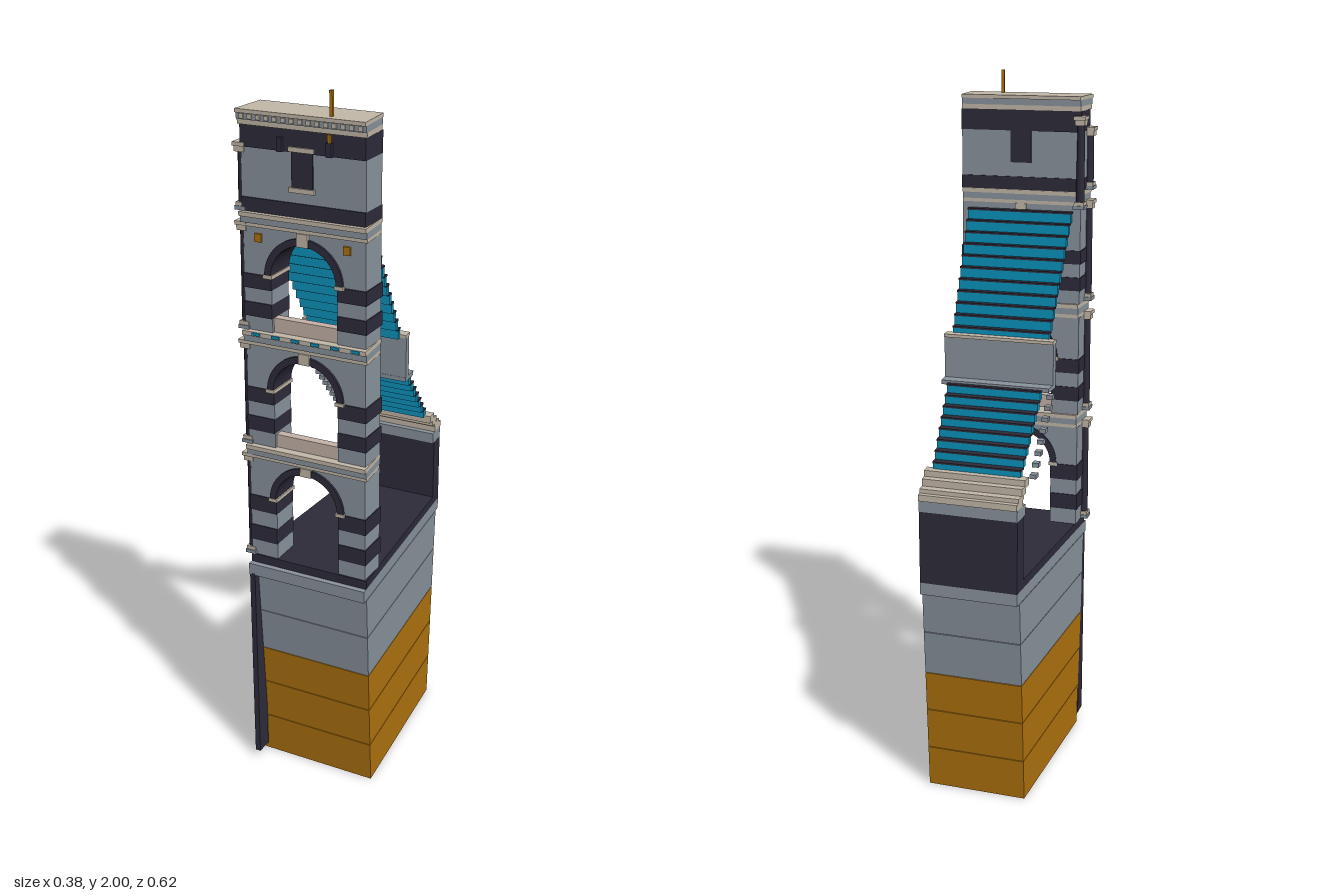
import * as THREE from 'three';

const mat = (name, color, side = THREE.FrontSide) => {
  const m = new THREE.MeshStandardMaterial({ color, side });
  m.name = name;
  return m;
};

export function createModel() {
  const root = new THREE.Group();
  root.name = 'arenaSection';
  const gray = mat('grayStone', 0x8a949e);
  const dark = mat('darkStone', 0x2e2b3a);
  const ochre = mat('ochreEarth', 0xb0740e, THREE.DoubleSide);
  const blue = mat('blueSeat', 0x0b94be);
  const beige = mat('paleStone', 0xc4b9a9);
  const rose = mat('roseSill', 0xc6b4ab);

  const add = (geo, m, name, parent = root) => {
    const mesh = new THREE.Mesh(geo, m);
    mesh.name = name;
    parent.add(mesh);
    return mesh;
  };
  const box = (x0, x1, y0, y1, z0, z1, m, name, parent) => {
    const mesh = add(new THREE.BoxGeometry(x1 - x0, y1 - y0, z1 - z0), m, name, parent);
    mesh.position.set((x0 + x1) / 2, (y0 + y1) / 2, (z0 + z1) / 2);
    return mesh;
  };

  // Side edges of the wedge-shaped plan, narrowing to the back
  const leftX = z => -0.155 - 0.05 * z;
  const rightX = z => 0.165 + 0.083 * z;

  // Slab following the wedge plan; front and back may slope between bottom and top
  const slab = (y0, y1, back, front, m, name, { inset = 0, back1 = back, front1 = front, open = false, parent } = {}) => {
    const g = new THREE.BoxGeometry(1, 1, 1);
    const p = g.attributes.position;
    for (let i = 0; i < p.count; i++) {
      const top = p.getY(i) > 0;
      const z = p.getZ(i) > 0 ? (top ? front1 : front) : (top ? back1 : back);
      p.setXYZ(i, p.getX(i) > 0 ? rightX(z) - inset : leftX(z) + inset, top ? y1 : y0, z);
    }
    if (open) {
      const idx = Array.from(g.index.array);
      idx.splice(18, 6); // bottom face left open
      g.setIndex(idx);
    }
    g.computeVertexNormals();
    return add(g, m, name, parent);
  };

  // Foundation courses, widening upward
  const levels = [0, 0.125, 0.25, 0.37, 0.5, 0.625];
  const frontZ = y => 0.25 + 0.062 * y;
  const backZ = y => -0.24 - 0.072 * y;
  for (let i = 0; i < 5; i++) {
    const a = levels[i], b = levels[i + 1];
    slab(a, b - 0.002, backZ(a), frontZ(a), i < 3 ? ochre : gray, 'foundationCourse',
      { back1: backZ(b), front1: frontZ(b), open: i === 0 });
  }
  box(-0.168, -0.152, 0.025, 0.63, 0.26, 0.308, dark, 'foundationPilaster');
  slab(0.625, 0.66, -0.305, 0.308, gray, 'platformEdge');
  slab(0.66, 0.685, -0.26, 0.292, dark, 'platformFloor');

  // Low wall at the arena side with pale steps
  slab(0.66, 0.868, -0.305, -0.255, dark, 'arenaWall');
  slab(0.868, 0.9, -0.306, -0.243, gray, 'arenaWallBand');
  slab(0.9, 0.918, -0.31, -0.26, beige, 'arenaWallCap');
  slab(0.918, 0.93, -0.295, -0.255, beige, 'arenaWallCap');
  slab(0.928, 0.95, -0.27, -0.237, beige, 'paleStep');
  slab(0.945, 0.967, -0.247, -0.215, beige, 'paleStep');

  // Seat rows: blue bodies under dark treads
  const flight = (name, n, z0, y0, depth, rise) => {
    const g = new THREE.Group();
    g.name = name;
    root.add(g);
    for (let i = 0; i < n; i++) {
      const z = z0 + i * depth, y = y0 + i * rise;
      slab(y, y + rise - 0.005, z, z + depth * 0.8, blue, 'seatRiser', { inset: 0.02, parent: g });
      slab(y + rise - 0.005, y + rise, z - 0.002, z + depth * 1.1, dark, 'seatTread', { inset: 0.019, parent: g });
    }
  };
  flight('lowerSeats', 8, -0.226, 0.962, 0.0222, 0.0255);
  flight('upperSeats', 11, 0, 1.285, 0.0178, 0.0305);

  // Narrow stair beside the lower seats
  for (let i = 0; i < 8; i++) {
    const z = -0.222 + i * 0.0222, y = 0.965 + i * 0.0255;
    box(-0.166, -0.148, y, y + 0.012, z, z + 0.0222, gray, 'sideStair');
  }

  // Wall between the two seat flights
  slab(1.16, 1.172, -0.058, 0.003, gray, 'walkway');
  slab(1.17, 1.288, -0.02, 0.002, gray, 'middleWall');
  slab(1.288, 1.297, -0.026, 0.005, beige, 'middleWallCap');

  // Facade storeys
  const ZB = 0.2, ZF = 0.288, CX = 0.008, R = 0.095, XL = -0.167, XR = 0.183;

  const extrude = (shape, z0, z1, m, name, parent) => {
    const mesh = add(new THREE.ExtrudeGeometry(shape, { depth: z1 - z0, bevelEnabled: false, curveSegments: 20 }), m, name, parent);
    mesh.position.z = z0;
  };

  const cornice = (y0, y1, parent) => {
    const h = y1 - y0;
    slab(y0, y0 + h * 0.25, 0.198, 0.294, beige, 'corniceMoulding', { parent });
    slab(y0 + h * 0.25, y0 + h * 0.7, 0.197, 0.298, gray, 'corniceBody', { parent });
    slab(y0 + h * 0.7, y1, 0.193, 0.305, beige, 'corniceCap', { parent });
  };

  const column = (x, z, y0, y1, parent) => {
    const g = new THREE.Group();
    g.name = 'engagedColumn';
    parent.add(g);
    const shaft = add(new THREE.CylinderGeometry(0.0105, 0.0125, y1 - y0 - 0.04, 12), dark, 'columnShaft', g);
    shaft.position.set(x, (y0 + y1) / 2, z);
    box(x - 0.016, x + 0.016, y0, y0 + 0.01, z - 0.019, z + 0.019, gray, 'columnPlinth', g);
    box(x - 0.014, x + 0.014, y0 + 0.01, y0 + 0.02, z - 0.016, z + 0.016, beige, 'columnBase', g);
    box(x - 0.014, x + 0.014, y1 - 0.025, y1 - 0.01, z - 0.016, z + 0.016, beige, 'columnCapital', g);
    box(x - 0.017, x + 0.017, y1 - 0.01, y1, z - 0.02, z + 0.02, beige, 'columnAbacus', g);
  };

  const storey = (name, base, spring, top, next) => {
    const g = new THREE.Group();
    g.name = name;
    root.add(g);
    // Striped piers
    const row = (spring - base) / 4;
    for (let i = 0; i < 4; i++) {
      const odd = i % 2, o = odd ? 0.003 : 0, m = odd ? dark : gray;
      const y = base + i * row;
      box(XL - o, CX - R, y, y + row, ZB - o, ZF + o, m, 'pierBlock', g);
      box(CX + R, XR + o, y, y + row, ZB - o, ZF + o, m, 'pierBlock', g);
    }
    // Wall above the springing line, with a half-round opening
    const wall = new THREE.Shape();
    wall.moveTo(XL, spring);
    wall.lineTo(CX - R, spring);
    wall.absarc(CX, spring, R, Math.PI, 0, true);
    wall.lineTo(XR, spring);
    wall.lineTo(XR, top);
    wall.lineTo(XL, top);
    extrude(wall, ZB, ZF, gray, 'archWall', g);
    // Raised arch ring, imposts and keystone
    const ring = new THREE.Shape();
    ring.absarc(CX, spring, R + 0.018, 0, Math.PI, false);
    ring.absarc(CX, spring, R - 0.001, Math.PI, 0, true);
    extrude(ring, ZB - 0.003, ZF + 0.007, dark, 'archRing', g);
    for (const s of [-1, 1]) {
      const x = CX + s * (R + 0.008);
      box(x - 0.013, x + 0.013, spring - 0.006, spring + 0.004, ZB - 0.004, ZF + 0.009, beige, 'impost', g);
    }
    box(CX - 0.016, CX + 0.016, spring + R - 0.003, top, ZB - 0.005, ZF + 0.01, beige, 'keystone', g);
    cornice(top, next, g);
    column(-0.172, 0.275, base, top + 0.01, g);
  };
  storey('lowerStorey', 0.685, 0.87, 0.986, 1.026);
  storey('middleStorey', 1.026, 1.193, 1.315, 1.356);
  storey('upperStorey', 1.356, 1.51, 1.637, 1.676);

  // Sills in the two upper arches
  for (const y of [1.02, 1.352]) box(CX - R, CX + R, y, y + 0.043, 0.255, 0.28, rose, 'archSill');

  // Blue blocks along the second cornice and ochre bosses on the third storey
  for (let i = 0; i < 6; i++) {
    const x = -0.14 + i * 0.058;
    box(x, x + 0.024, 1.347, 1.355, 0.3, 0.308, blue, 'corniceBlock');
  }
  for (const x of [-0.122, 0.132]) box(x - 0.01, x + 0.01, 1.598, 1.62, ZF, ZF + 0.006, ochre, 'wallBoss');

  // Attic
  const attic = new THREE.Group();
  attic.name = 'attic';
  root.add(attic);
  box(XL, XR, 1.676, 1.712, ZB - 0.004, ZF + 0.004, dark, 'atticBase', attic);
  box(XL, XR, 1.712, 1.84, ZB, ZF, gray, 'atticWall', attic);
  box(XL, XR, 1.84, 1.897, ZB - 0.004, ZF + 0.004, dark, 'atticBand', attic);
  box(-0.022, 0.038, 1.752, 1.842, ZB - 0.004, ZF + 0.004, dark, 'atticWindow', attic);
  for (const y of [1.74, 1.842]) box(-0.028, 0.044, y, y + 0.012, ZF, ZF + 0.009, beige, 'windowTrim', attic);
  slab(1.897, 1.91, 0.196, 0.298, beige, 'topMoulding', { parent: attic });
  slab(1.91, 1.927, 0.194, 0.302, gray, 'topCornice', { parent: attic });
  slab(1.927, 1.937, 0.19, 0.308, beige, 'topCap', { parent: attic });
  for (let i = 0; i < 15; i++) {
    const x = -0.16 + i * 0.0235;
    box(x, x + 0.012, 1.913, 1.925, 0.3, 0.306, beige, 'dentil', attic);
  }
  column(-0.167, 0.193, 1.63, 1.885, attic);
  column(-0.172, 0.275, 1.676, 1.85, attic);

  // Mast and its brackets
  box(0.0835, 0.0915, 1.85, 2.0, 0.28, 0.288, ochre, 'mast');
  for (const x of [-0.05, 0.0875]) {
    box(x - 0.007, x + 0.007, 1.84, 1.875, ZF, ZF + 0.015, dark, 'mastBracket');
  }
  box(0.0835, 0.0915, 1.865, 1.895, ZF + 0.004, ZF + 0.012, ochre, 'mastFoot');

  return root;
}
